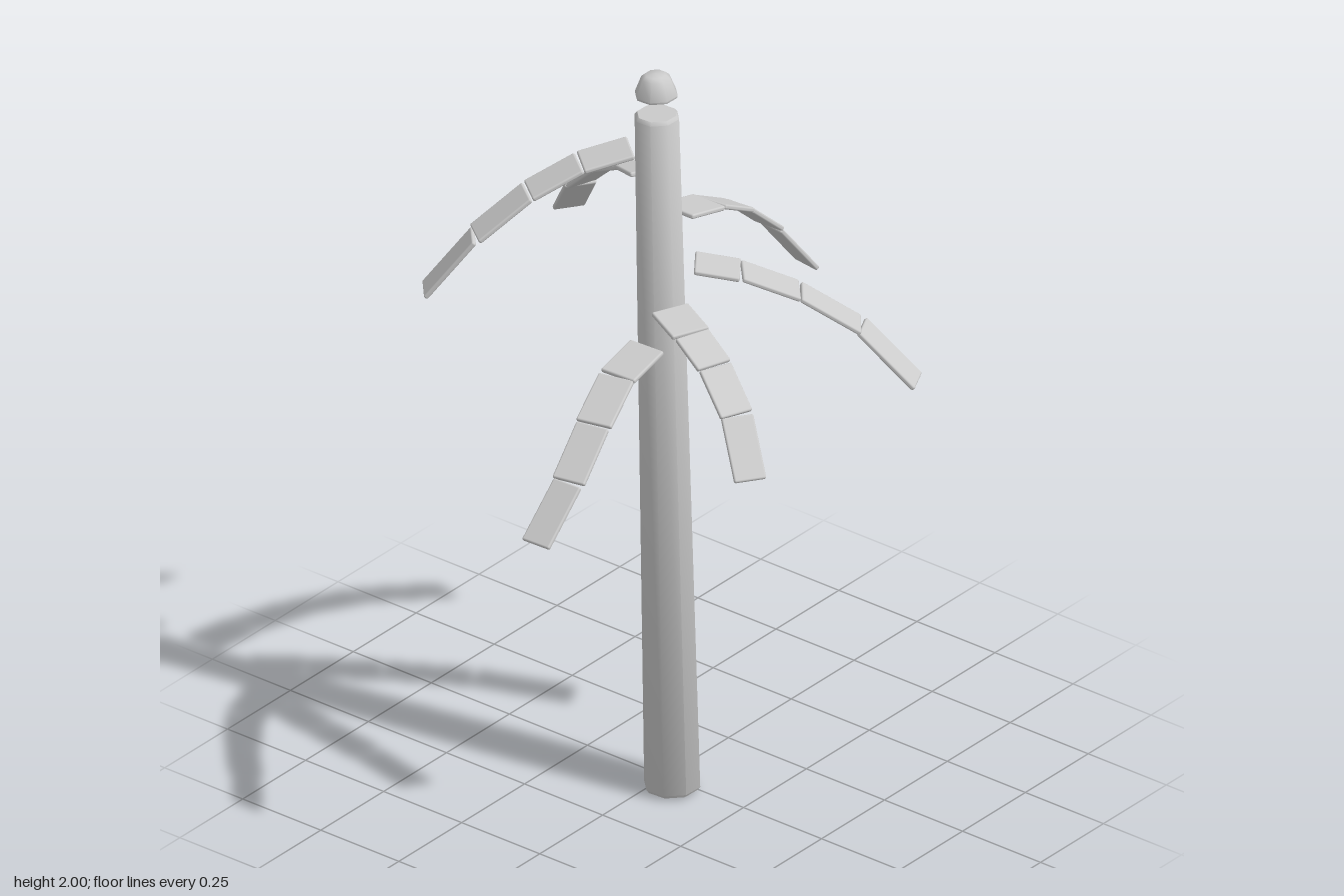
import * as THREE from 'three';
import { toCreasedNormals } from 'three/addons/utils/BufferGeometryUtils.js';
import { RoundedBoxGeometry } from 'three/addons/geometries/RoundedBoxGeometry.js';

const material = new THREE.MeshStandardMaterial({ color: 0xcccccc });
const UP = new THREE.Vector3(0, 1, 0);
const V = (a) => new THREE.Vector3(...a);

// Solid of revolution with eight sides, smooth round the side and creased at the ends
function turned(name, profile) {
  const points = profile.map(([r, y]) => new THREE.Vector2(r, y));
  const mesh = new THREE.Mesh(toCreasedNormals(new THREE.LatheGeometry(points, 8, Math.PI / 8), 0.9), material);
  mesh.name = name;
  return mesh;
}

// A frond is a chain of thin plates that stay level across their width
function frond(name, path) {
  const group = new THREE.Group();
  group.name = name;
  for (let i = 0; i < path.length - 1; i++) {
    const a = V(path[i]), b = V(path[i + 1]);
    const along = b.clone().sub(a);
    const width = 0.104 - 0.0068 * i;
    const plate = new THREE.Mesh(new RoundedBoxGeometry(width, 0.013, along.length() - 0.004, 2, 0.005), material);
    const z = along.normalize();
    const x = UP.clone().cross(z).normalize();
    const y = z.clone().cross(x);
    plate.quaternion.setFromRotationMatrix(new THREE.Matrix4().makeBasis(x, y, z));
    plate.position.copy(a).lerp(b, 0.5);
    plate.name = 'frondPlate' + (i + 1);
    group.add(plate);
  }
  return group;
}

// Centre lines of the fronds, from the trunk to the tip
const fronds = {
  frondBack: [[-0.024, 1.585, -0.072], [-0.026, 1.55, -0.208], [-0.041, 1.475, -0.343], [-0.047, 1.36, -0.474], [-0.029, 1.197, -0.602]],
  frondBackLeft: [[0.053, 1.475, -0.047], [0.147, 1.455, -0.118], [0.256, 1.39, -0.218], [0.373, 1.29, -0.315], [0.503, 1.145, -0.379]],
  frondFrontLeft: [[0.04, 1.375, 0.035], [0.147, 1.36, 0.08], [0.25, 1.32, 0.115], [0.355, 1.235, 0.157], [0.453, 1.11, 0.224]],
  frondFront: [[0, 1.268, 0.07], [0.006, 1.24, 0.2], [0.037, 1.172, 0.333], [0.063, 1.075, 0.465], [0.068, 0.957, 0.602]],
  frondFrontRight: [[-0.08, 1.795, 0.035], [-0.165, 1.765, 0.135], [-0.247, 1.7, 0.24], [-0.33, 1.595, 0.35], [-0.424, 1.437, 0.434]],
  frondBackRight: [[-0.09, 1.685, -0.05], [-0.185, 1.655, -0.1], [-0.298, 1.59, -0.135], [-0.41, 1.485, -0.172], [-0.5, 1.357, -0.235]],
};

export function createModel() {
  const model = new THREE.Group();
  model.name = 'palmTree';

  // Leaning, slightly tapered trunk
  const foot = V([0.05, 0.005, 0.035]), head = V([-0.035, 1.89, -0.009]);
  const lean = head.clone().sub(foot);
  const length = lean.length();
  const trunk = turned('trunk', [[0, 0], [0.066, 0], [0.073, 0.009], [0.058, length - 0.009], [0.051, length], [0, length]]);
  trunk.position.copy(foot);
  trunk.quaternion.setFromUnitVectors(UP, lean.normalize());
  model.add(trunk);

  // Small domed bud floating above the trunk
  const bud = turned('crownBud', [[0, 0], [0.054, 0], [0.056, 0.006], [0.038, 0.051], [0.027, 0.06], [0, 0.062]]);
  bud.position.set(-0.039, 1.938, -0.012);
  bud.quaternion.copy(trunk.quaternion);
  model.add(bud);

  for (const [name, path] of Object.entries(fronds)) model.add(frond(name, path));
  return model;
}
